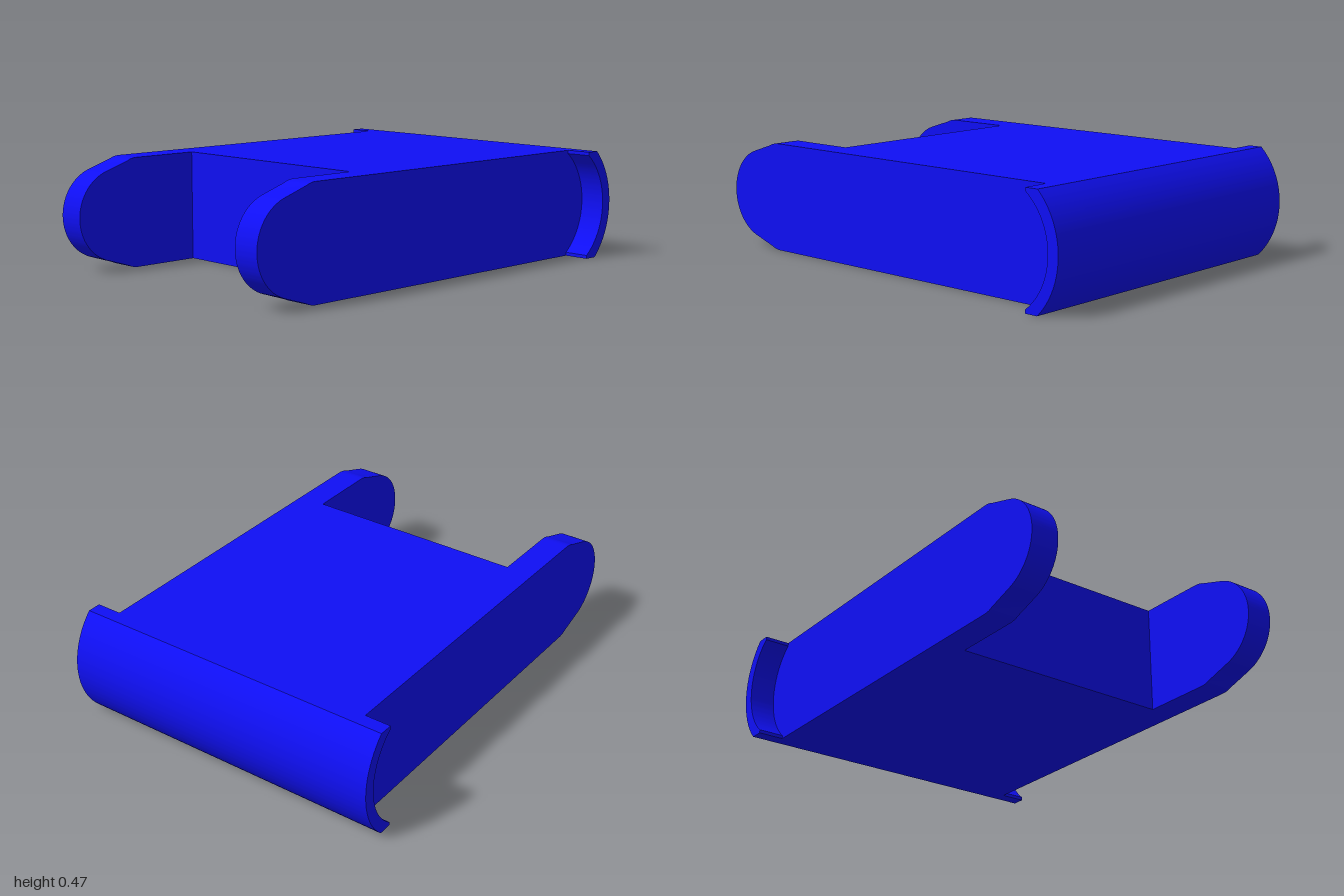
import * as THREE from 'three';
import { toCreasedNormals } from 'three/addons/utils/BufferGeometryUtils.js';

const H = 0.475, MID = H / 2;       // overall height and its middle
const BACK_Z = -0.669;              // centre of the curved back
const R_OUT = 0.331, R_IN = 0.281;  // outer and inner radius of the back shell
const LIP = 0.015;                  // height of the shell's front lip

const material = new THREE.MeshStandardMaterial({ color: 0x0f0ff5 });

// Extrudes a side profile drawn in (z, y) across the width, centred on x
function part(name, shape, width, x = 0) {
  let geo = new THREE.ExtrudeGeometry(shape, { depth: width, bevelEnabled: false, curveSegments: 32 });
  geo.translate(0, 0, -width / 2);
  geo.rotateY(-Math.PI / 2);
  geo = toCreasedNormals(geo, 0.5);
  const mesh = new THREE.Mesh(geo, material);
  mesh.name = name;
  mesh.position.x = x;
  return mesh;
}

// Continues a profile along an arc of the back; half is half the chord height
function backArc(shape, radius, half, upwards) {
  const a = Math.asin(half / radius);
  const [from, to] = upwards ? [Math.PI + a, Math.PI - a] : [Math.PI - a, Math.PI + a];
  shape.absarc(BACK_Z, MID, radius, from, to, upwards);
}

export function createModel() {
  const group = new THREE.Group();
  const inner = MID - LIP;
  const lipZ = BACK_Z - Math.sqrt(R_IN ** 2 - inner ** 2);

  // Middle block between the arms
  const block = new THREE.Shape();
  block.moveTo(0.4, 0);
  block.lineTo(0.4, H);
  block.lineTo(lipZ, H);
  backArc(block, R_IN, inner, false);
  block.lineTo(lipZ, 0);
  block.closePath();
  group.add(part('body', block, 0.99));

  // Side arms with tapered, rounded front ends
  const arm = new THREE.Shape();
  const tipZ = 0.8, tipR = 0.2, tip = 1.26;
  arm.moveTo(lipZ, 0);
  arm.lineTo(0.7, 0);
  arm.quadraticCurveTo(0.73, 0, 0.75, 0.011);
  arm.absarc(tipZ, MID, tipR, -tip, tip, false);
  arm.lineTo(0.75, H - 0.011);
  arm.quadraticCurveTo(0.73, H, 0.7, H);
  arm.lineTo(lipZ, H);
  backArc(arm, R_IN, inner, false);
  arm.closePath();
  for (const side of [1, -1]) {
    group.add(part(side > 0 ? 'leftArm' : 'rightArm', arm, 0.124, side * 0.557));
  }

  // Curved shell across the back, wider than the body
  const shell = new THREE.Shape();
  const edgeZ = BACK_Z - Math.sqrt(R_OUT ** 2 - MID ** 2);
  shell.moveTo(lipZ, H);
  shell.lineTo(edgeZ, H);
  backArc(shell, R_OUT, MID, false);
  shell.lineTo(lipZ, 0);
  shell.lineTo(lipZ, LIP);
  backArc(shell, R_IN, inner, true);
  shell.closePath();
  group.add(part('backShell', shell, 1.466));

  return group;
}
